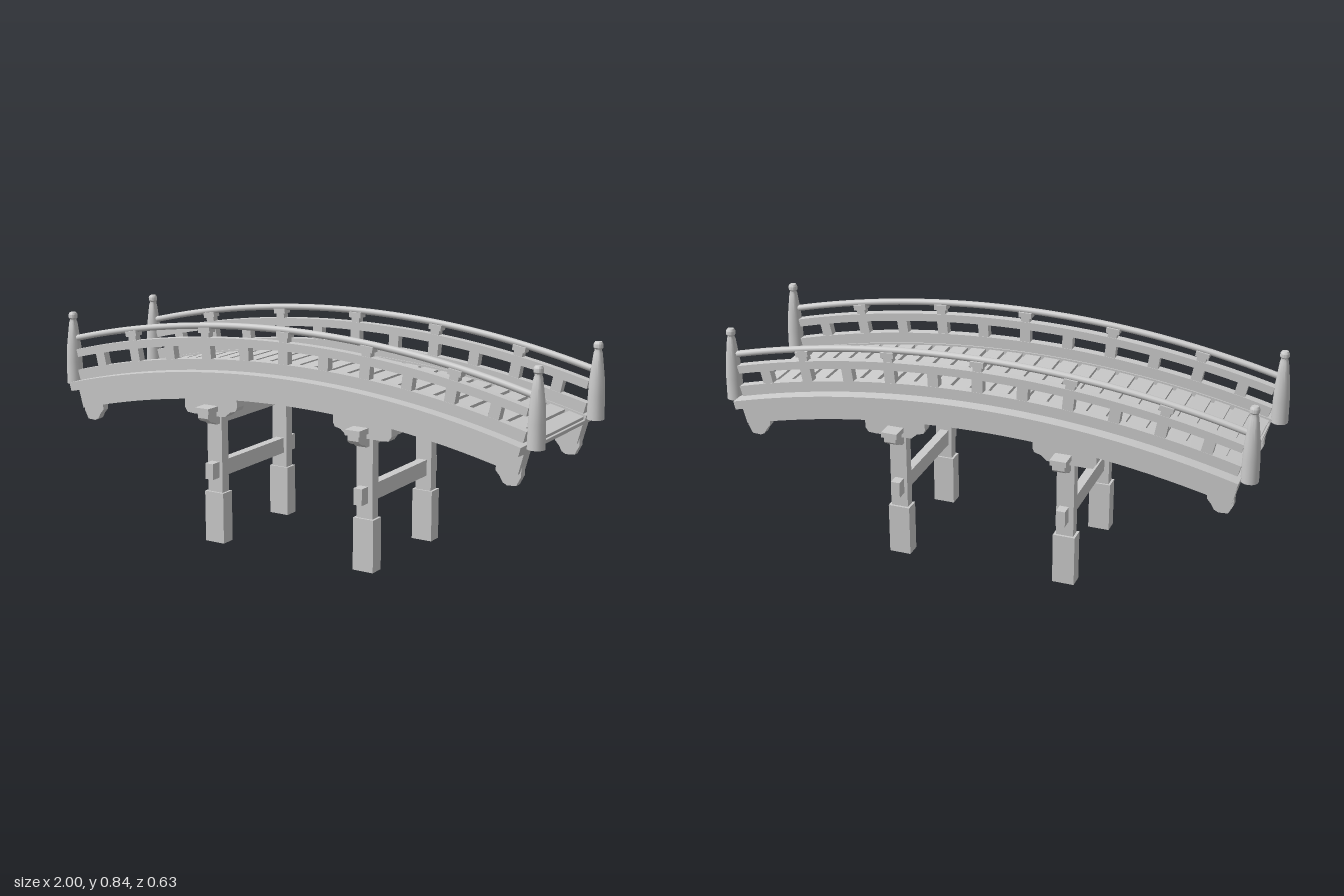
import * as THREE from 'three';
import { toCreasedNormals } from 'three/addons/utils/BufferGeometryUtils.js';

// All curved parts share one arc centre at (0, CY); radii are measured from it.
const CY = -3, END = 0.26;

export function createModel() {
  const model = new THREE.Group();
  const material = new THREE.MeshStandardMaterial({ color: 0xcccccc });

  const add = (name, geometry, parent = model) => {
    const mesh = new THREE.Mesh(geometry, material);
    mesh.name = name;
    parent.add(mesh);
    return mesh;
  };
  const box = (name, w, h, d, x, y, z, parent) => {
    const mesh = add(name, new THREE.BoxGeometry(w, h, d), parent);
    mesh.position.set(x, y, z);
    return mesh;
  };
  // Box standing on the arc at angle a, its base at radius r0
  const arcBox = (name, a, r0, r1, w, z0, z1, parent) => {
    const r = (r0 + r1) / 2;
    const mesh = box(name, w, r1 - r0, z1 - z0, r * Math.sin(a), CY + r * Math.cos(a), (z0 + z1) / 2, parent);
    mesh.rotation.z = -a;
    return mesh;
  };
  // Flat outline in x and y, pushed from z0 to z1
  const slab = (name, shape, z0, z1, parent) => {
    const geo = new THREE.ExtrudeGeometry(shape, { depth: z1 - z0, bevelEnabled: false, curveSegments: 36 });
    geo.translate(0, 0, z0);
    return add(name, toCreasedNormals(geo, 0.4), parent);
  };
  // Curved bar between two radii
  const arcBar = (name, r0, r1, z0, z1, half, parent) => {
    const s = new THREE.Shape();
    s.absarc(0, CY, r1, Math.PI / 2 - half, Math.PI / 2 + half, false);
    s.absarc(0, CY, r0, Math.PI / 2 + half, Math.PI / 2 - half, true);
    s.closePath();
    return slab(name, s, z0, z1, parent);
  };
  const outline = (pts, flip = 1) => new THREE.Shape(pts.map(([x, y]) => new THREE.Vector2(x * flip, y)));

  // Deck: panel and cross planks
  arcBar('deckPanel', 3.638, 3.653, -0.3, 0.3, END);
  const planks = new THREE.Group();
  planks.name = 'planks';
  model.add(planks);
  const COUNT = 26, pitch = (2 * END) / COUNT;
  for (let i = 0; i < COUNT; i++) {
    arcBox('plank', -END + (i + 0.5) * pitch, 3.648, 3.665, pitch * 3.66 - 0.015, -0.24, 0.24, planks);
  }

  for (const s of [1, -1]) {
    const side = new THREE.Group();
    side.name = s > 0 ? 'frontSide' : 'backSide';
    model.add(side);
    const bar = (name, r0, r1, a, b, half) =>
      arcBar(name, r0, r1, Math.min(a * s, b * s), Math.max(a * s, b * s), half, side);
    const cut = (name, pts, flip, a, b) =>
      slab(name, outline(pts, flip), Math.min(a * s, b * s), Math.max(a * s, b * s), side);
    const block = (name, a, r0, r1, w, c, d) =>
      arcBox(name, a, r0, r1, w, s * c - d / 2, s * c + d / 2, side);

    // Main beam and edge boards
    bar('mainBeam', 3.565, 3.64, 0.215, 0.267, END);
    bar('edgeBoard', 3.64, 3.672, 0.225, 0.311, END);

    // Railing
    bar('lowerRail', 3.672, 3.712, 0.23, 0.263, 0.256);
    bar('middleRail', 3.76, 3.79, 0.231, 0.263, 0.252);
    const points = [];
    for (let i = -12; i <= 12; i++) {
      const a = (i / 12) * 0.25;
      points.push(new THREE.Vector3(3.832 * Math.sin(a), CY + 3.832 * Math.cos(a), 0.247 * s));
    }
    add('topRail', new THREE.TubeGeometry(new THREE.CatmullRomCurve3(points), 48, 0.012, 10), side);

    for (let i = -5; i <= 5; i++) {
      const a = (i * 0.167) / 3.75;
      block('railPost', a, 3.705, 3.765, 0.04, 0.247, 0.03);
      if ((i + 6) % 2 === 0) {
        block('railBlock', a, 3.785, 3.81, 0.034, 0.247, 0.028);
        block('railCap', a, 3.807, 3.827, 0.05, 0.247, 0.036);
      }
    }

    for (const e of [1, -1]) {
      // Turned end post with a small cap
      const profile = [[0, 0.535], [0.031, 0.535], [0.03, 0.62], [0.027, 0.68], [0.021, 0.73], [0.016, 0.77],
        [0.013, 0.778], [0.013, 0.784], [0.017, 0.789], [0.017, 0.802], [0.012, 0.81], [0, 0.812]];
      const post = add('endPost', toCreasedNormals(new THREE.LatheGeometry(
        profile.map(([r, y]) => new THREE.Vector2(r, y)), 14), 0.6), side);
      post.position.set(0.969 * e, 0, 0.247 * s);

      // Carved nose beneath the beam end
      cut('beamNose', [[0.922, 0.47], [0.922, 0.435], [0.905, 0.402], [0.872, 0.4], [0.856, 0.408],
        [0.845, 0.428], [0.83, 0.445], [0.83, 0.49]], e, 0.225, 0.253);

      // Boat-shaped bracket between post and beam
      cut('bracket', [[0.205, 0.57], [0.203, 0.53], [0.21, 0.515], [0.235, 0.508], [0.255, 0.49], [0.275, 0.487],
        [0.375, 0.487], [0.395, 0.486], [0.425, 0.488], [0.437, 0.505], [0.437, 0.55], [0.32, 0.565]], e, 0.212, 0.256);

      // Leg and its thicker foot
      box('leg', 0.065, 0.35, 0.04, 0.32 * e, 0.345, 0.215 * s, side);
      box('legFoot', 0.082, 0.193, 0.056, 0.32 * e, 0.0965, 0.216 * s, side);
    }
  }

  // Cross members joining each pair of legs
  for (const e of [1, -1]) {
    const x = 0.317 * e;
    const s = new THREE.Shape();
    s.moveTo(-0.31, 0.508);
    s.lineTo(-0.31, 0.487);
    s.quadraticCurveTo(-0.3, 0.472, -0.267, 0.465);
    s.lineTo(-0.255, 0.456);
    s.lineTo(0.255, 0.456);
    s.lineTo(0.267, 0.465);
    s.quadraticCurveTo(0.3, 0.472, 0.31, 0.487);
    s.lineTo(0.31, 0.508);
    s.closePath();
    const beam = slab('crossBeam', s, -0.0225, 0.0225);
    beam.rotation.y = Math.PI / 2;
    beam.position.x = x;
    box('crossBeamCap', 0.06, 0.02, 0.634, x, 0.516, 0);
    box('tieBeam', 0.034, 0.06, 0.554, x, 0.28, 0);
  }
  return model;
}
